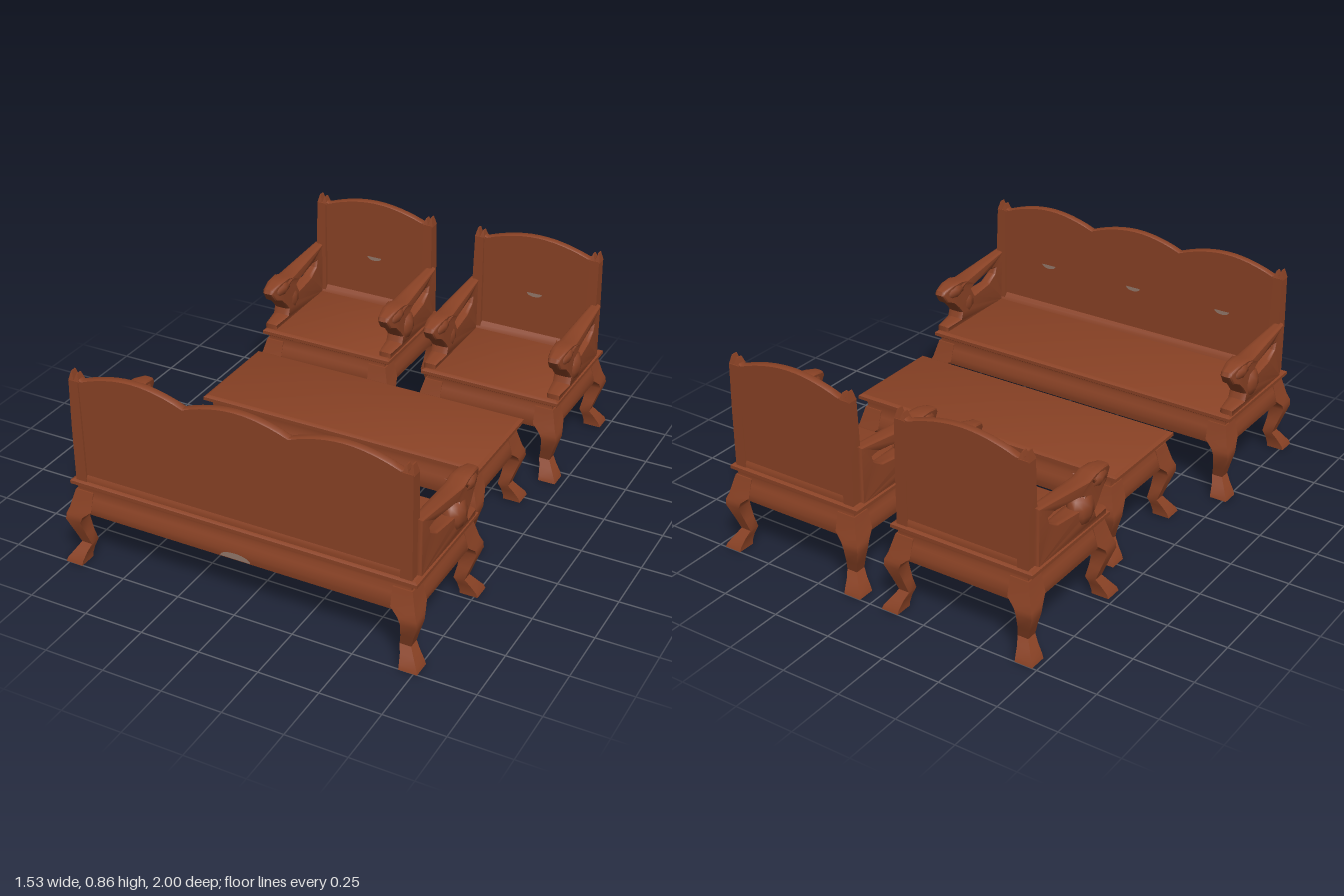
import * as THREE from 'three';
import { toCreasedNormals } from 'three/addons/utils/BufferGeometryUtils.js';

const wood = new THREE.MeshStandardMaterial({ color: 0x8a4225 });
wood.name = 'red brown wood';
const worn = new THREE.MeshStandardMaterial({ color: 0x94796b, side: THREE.DoubleSide });
worn.name = 'worn pale wood';

function add(parent, name, geometry, material = wood) {
  const mesh = new THREE.Mesh(geometry, material);
  mesh.name = name;
  parent.add(mesh);
  return mesh;
}

// Loft through rectangular sections [cx, cz, halfWidth, halfDepth, y]
function loft(sections, closed = false) {
  const pos = [];
  const corners = [[1, 1], [1, -1], [-1, -1], [-1, 1]];
  const rings = sections.map(([cx, cz, w, d, y]) => corners.map(([a, b]) => [cx + a * w, y, cz + b * d]));
  const quad = (a, b, c, d) => pos.push(...a, ...b, ...c, ...a, ...c, ...d);
  const n = rings.length;
  for (let i = 0; i < (closed ? n : n - 1); i++) {
    const lo = rings[i], hi = rings[(i + 1) % n];
    for (let k = 0; k < 4; k++) quad(lo[k], lo[(k + 1) % 4], hi[(k + 1) % 4], hi[k]);
  }
  if (!closed) {
    const b = rings[0], t = rings[n - 1];
    quad(b[3], b[2], b[1], b[0]);
    quad(t[0], t[1], t[2], t[3]);
  }
  const g = new THREE.BufferGeometry();
  g.setAttribute('position', new THREE.Float32BufferAttribute(pos, 3));
  return toCreasedNormals(g, 0.6);
}

// Hollow apron, top plate and four curved legs; W and D are the apron's half sizes
function addBase(group, W, D, topY, overX, overZ) {
  const apron = [[0.006, 0.232], [0.012, 0.265], [0, 0.3], [-0.012, 0.33], [-0.008, topY - 0.02],
    [-0.05, topY - 0.02], [-0.06, 0.275], [-0.085, 0.265], [-0.085, 0.24]];
  add(group, 'apron', loft(apron.map(([o, y]) => [0, 0, W + o, D + o, y]), true));
  const plate = [[-0.012, -0.03], [0, -0.022], [0, -0.008], [-0.014, 0]];
  add(group, 'topPlate', loft(plate.map(([o, y]) => [0, 0, W + overX + o, D + overZ + o, topY + y])));

  // [outward offset, thickness, y]
  const leg = [[0.04, 0.075, 0], [0.034, 0.07, 0.018], [0.012, 0.055, 0.05], [-0.008, 0.046, 0.08],
    [0.008, 0.052, 0.13], [0.03, 0.066, 0.195], [0.028, 0.075, 0.22], [0.016, 0.098, 0.25], [-0.004, 0.08, 0.325]];
  for (const sx of [-1, 1]) for (const sz of [-1, 1]) {
    add(group, 'leg', loft(leg.map(([o, t, y]) =>
      [sx * (W + o - t / 2), sz * (D + o - t / 2), t / 2, t / 2, y])));
  }
}

// Carved arm: open panel ending in an animal head, thicker toward the front
function armGeometry() {
  const pts = (list) => list.map(([z, y]) => new THREE.Vector2(z, y));
  const shape = new THREE.Shape(pts([[-0.21, 0.362], [0.24, 0.362], [0.24, 0.39], [0.15, 0.4], [0.14, 0.43],
    [0.165, 0.46], [0.2, 0.495], [0.235, 0.51], [0.262, 0.55], [0.255, 0.565], [0.2, 0.58], [0.14, 0.582],
    [0.1, 0.57], [0, 0.582], [-0.21, 0.602]]));
  shape.holes.push(new THREE.Path(pts([[-0.15, 0.54], [-0.11, 0.547], [0.04, 0.532], [0.07, 0.52],
    [0.04, 0.475], [-0.09, 0.482], [-0.14, 0.51]])));
  const g = new THREE.ExtrudeGeometry(shape,
    { depth: 0.8, bevelEnabled: true, bevelThickness: 0.6, bevelSize: 0.006, bevelOffset: -0.003, bevelSegments: 2 });
  g.translate(0, 0, -0.4);
  g.rotateY(-Math.PI / 2);
  const p = g.attributes.position;
  for (let i = 0; i < p.count; i++) {
    const front = THREE.MathUtils.smoothstep(p.getZ(i), -0.15, 0.12);
    const tip = THREE.MathUtils.smoothstep(p.getZ(i), 0.16, 0.27);
    p.setX(i, p.getX(i) * (0.022 + 0.016 * front - 0.014 * tip));
  }
  return toCreasedNormals(g, 0.7);
}

function addArms(group, W) {
  for (const s of [-1, 1]) {
    const arm = new THREE.Group();
    arm.name = 'arm';
    arm.position.x = s * (W - 0.015);
    add(arm, 'armPanel', armGeometry());
    // Head, shoulder and ears
    const head = add(arm, 'armHead', new THREE.SphereGeometry(1, 10, 7));
    head.scale.set(0.047, 0.04, 0.075);
    head.position.set(0, 0.545, 0.175);
    const shoulder = add(arm, 'armShoulder', new THREE.SphereGeometry(1, 10, 7));
    shoulder.scale.set(0.05, 0.075, 0.065);
    shoulder.position.set(s * 0.006, 0.46, 0.085);
    for (const e of [-1, 1]) {
      const ear = add(arm, 'armEar', new THREE.ConeGeometry(0.016, 0.05, 5));
      ear.position.set(e * 0.036, 0.56, 0.13);
      ear.rotation.set(-0.9, 0, -e * 0.5);
    }
    group.add(arm);
  }
}

// Back panel with a wavy crest of the given number of humps, between two posts
function addBack(group, W, humps) {
  const half = W - 0.035, low = 0.808, high = 0.855, wave = half - 0.03;
  const shape = new THREE.Shape();
  shape.moveTo(-half, 0.35);
  shape.lineTo(half, 0.35);
  shape.lineTo(half, 0.815);
  const steps = humps * 12;
  for (let i = 0; i <= steps; i++) {
    const t = i / steps;
    const y = low + (high - low) * Math.pow(Math.abs(Math.sin(t * humps * Math.PI)), 0.9);
    shape.lineTo(wave - 2 * wave * t, y);
  }
  shape.lineTo(-half, 0.815);
  const panel = new THREE.ExtrudeGeometry(shape,
    { depth: 0.022, bevelEnabled: true, bevelThickness: 0.006, bevelSize: 0.004, bevelOffset: -0.004, bevelSegments: 1 });
  panel.translate(0, 0, -0.238);
  add(group, 'backPanel', toCreasedNormals(panel, 0.6));
  add(group, 'backFootRail', loft([[0, -0.218, half, 0.032, 0.36], [0, -0.222, half, 0.028, 0.385], [0, -0.226, half, 0.016, 0.4]]));

  for (const s of [-1, 1]) {
    const x = s * (W - 0.032);
    add(group, 'backPost', loft([[x, -0.222, 0.024, 0.03, 0.35], [x, -0.224, 0.023, 0.028, 0.6],
      [x, -0.226, 0.02, 0.024, 0.805]]));
    for (const [o, h] of [[0.011, 0.84], [-0.012, 0.832]]) {
      add(group, 'postTip', loft([[x + s * o, -0.226, 0.012, 0.022, 0.8], [x + s * o, -0.226, 0.002, 0.012, h]]));
    }
  }

  // Shallow worn crescents on the inner face
  for (let i = 0; i < humps; i++) {
    const x = -wave + (2 * wave * (i + 0.5)) / humps;
    const mark = add(group, 'wornCrescent', new THREE.CircleGeometry(0.035, 14, Math.PI, Math.PI), worn);
    mark.scale.y = 0.5;
    mark.position.set(x, 0.59, -0.2085);
  }
}

function addSeat(root, name, W, humps, x, z, turn) {
  const group = new THREE.Group();
  group.name = name;
  addBase(group, W, 0.26, 0.37, 0.015, 0.002);
  addBack(group, W, humps);
  addArms(group, W);
  group.position.set(x, 0, z);
  group.rotation.y = turn;
  root.add(group);
  return group;
}

export function createModel() {
  const root = new THREE.Group();
  root.name = 'livingRoomSet';

  const sofa = addSeat(root, 'sofa', 0.725, 3, 0, 0.703, Math.PI);
  const patch = add(sofa, 'wornPatch', new THREE.CircleGeometry(0.065, 14, 0, Math.PI), worn);
  patch.scale.y = 0.4;
  patch.position.set(0, 0.24, -0.2735);

  addSeat(root, 'leftChair', 0.297, 1, 0.385, -0.7, 0);
  addSeat(root, 'rightChair', 0.297, 1, -0.393, -0.7, 0);

  const table = new THREE.Group();
  table.name = 'table';
  addBase(table, 0.6, 0.216, 0.382, 0.022, 0.008);
  table.position.set(0.008, 0, -0.022);
  root.add(table);
  return root;
}
